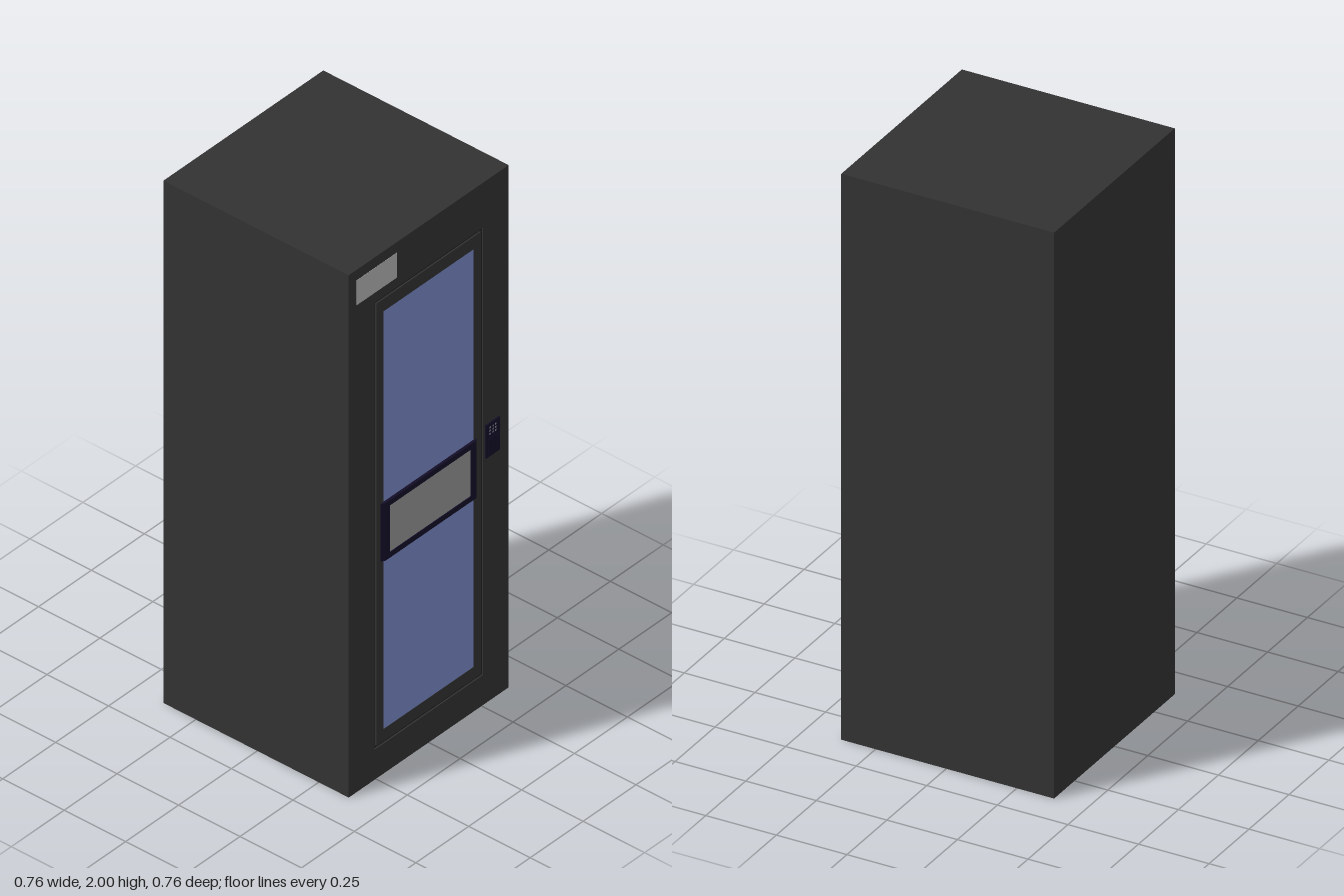
import * as THREE from 'three';

const mat = (color) => new THREE.MeshStandardMaterial({ color });
const shell = mat(0x323232);
const grooveDark = mat(0x242424);
const glass = mat(0x7b8ac8);
const display = mat(0x969696);
const plate = mat(0xb4b4b4);
const trim = mat(0x130d26);
const keyMat = mat(0x77778c);

// Door-side rectangle: z0 < z1, y0 < y1
const rect = (z0, z1, y0, y1) => ({ z0, z1, y0, y1 });

function trace(path, r) {
  path.moveTo(-r.z1, r.y0);
  path.lineTo(-r.z0, r.y0);
  path.lineTo(-r.z0, r.y1);
  path.lineTo(-r.z1, r.y1);
  path.closePath();
  return path;
}

// Plate lying in the z-y plane, from x0 to x1, with an optional opening
function panel(name, r, x0, x1, material, hole) {
  const shape = trace(new THREE.Shape(), r);
  if (hole) shape.holes.push(trace(new THREE.Path(), hole));
  const geo = new THREE.ExtrudeGeometry(shape, { depth: x1 - x0, bevelEnabled: false });
  geo.rotateY(Math.PI / 2).translate(x0, 0, 0);
  const mesh = new THREE.Mesh(geo, material);
  mesh.name = name;
  return mesh;
}

// Pull the outer ends of a plate inwards to slope them
function slopeEnds(mesh, x1, zLimit, inset) {
  const p = mesh.geometry.attributes.position;
  for (let i = 0; i < p.count; i++) {
    const z = p.getZ(i);
    if (p.getX(i) > x1 - 0.001 && Math.abs(z) > zLimit) p.setZ(i, z - Math.sign(z) * inset);
  }
  mesh.geometry.computeVertexNormals();
  return mesh;
}

export function createModel() {
  const cabinet = new THREE.Group();
  cabinet.name = 'cabinet';
  const face = 0.372;
  const inner = 0.366;

  // Main body
  const body = new THREE.Mesh(new THREE.BoxGeometry(inner + 0.382, 2, 0.756), shell);
  body.position.set((inner - 0.382) / 2, 1, 0);
  body.name = 'body';
  cabinet.add(body);

  // Front surround, groove and door, nested inside each other
  const outline = rect(-0.378, 0.378, 0, 2);
  const opening = rect(-0.257, 0.257, 0.115, 1.828);
  const door = rect(-0.247, 0.247, 0.125, 1.818);
  const pane = rect(-0.212, 0.214, 0.17, 1.77);
  cabinet.add(
    panel('surround', outline, inner, face, shell, opening),
    panel('doorGroove', opening, inner, inner + 0.001, grooveDark, door),
    panel('doorFrame', door, inner, face, shell, pane),
    panel('windowPane', pane, inner, face - 0.001, glass)
  );

  // Raised display across the window
  const screen = rect(-0.19, 0.193, 0.84, 1.02);
  const bezel = panel('displayBezel', rect(-0.228, 0.23, 0.82, 1.04), face - 0.002, 0.381, trim, screen);
  cabinet.add(slopeEnds(bezel, 0.381, 0.21, 0.013), panel('displayScreen', screen, face - 0.002, 0.378, display));

  // Name plate in the upper corner
  cabinet.add(panel('namePlate', rect(0.15, 0.34, 1.865, 1.96), face, face + 0.001, plate));

  // Keypad lock beside the door
  const lock = new THREE.Group();
  lock.name = 'keypadLock';
  lock.add(panel('lockBase', rect(-0.331, -0.266, 0.94, 1.066), face, 0.377, trim));
  lock.add(panel('lockHandle', rect(-0.322, -0.275, 0.95, 1.01), 0.377, 0.379, trim));
  for (let row = 0; row < 3; row++) {
    for (let col = 0; col < 3; col++) {
      const z = -0.298 + (col - 1) * 0.013;
      const y = 1.038 + (row - 1) * 0.012;
      lock.add(panel('key', rect(z - 0.003, z + 0.003, y - 0.003, y + 0.003), 0.377, 0.378, keyMat));
    }
  }
  cabinet.add(lock);
  return cabinet;
}
